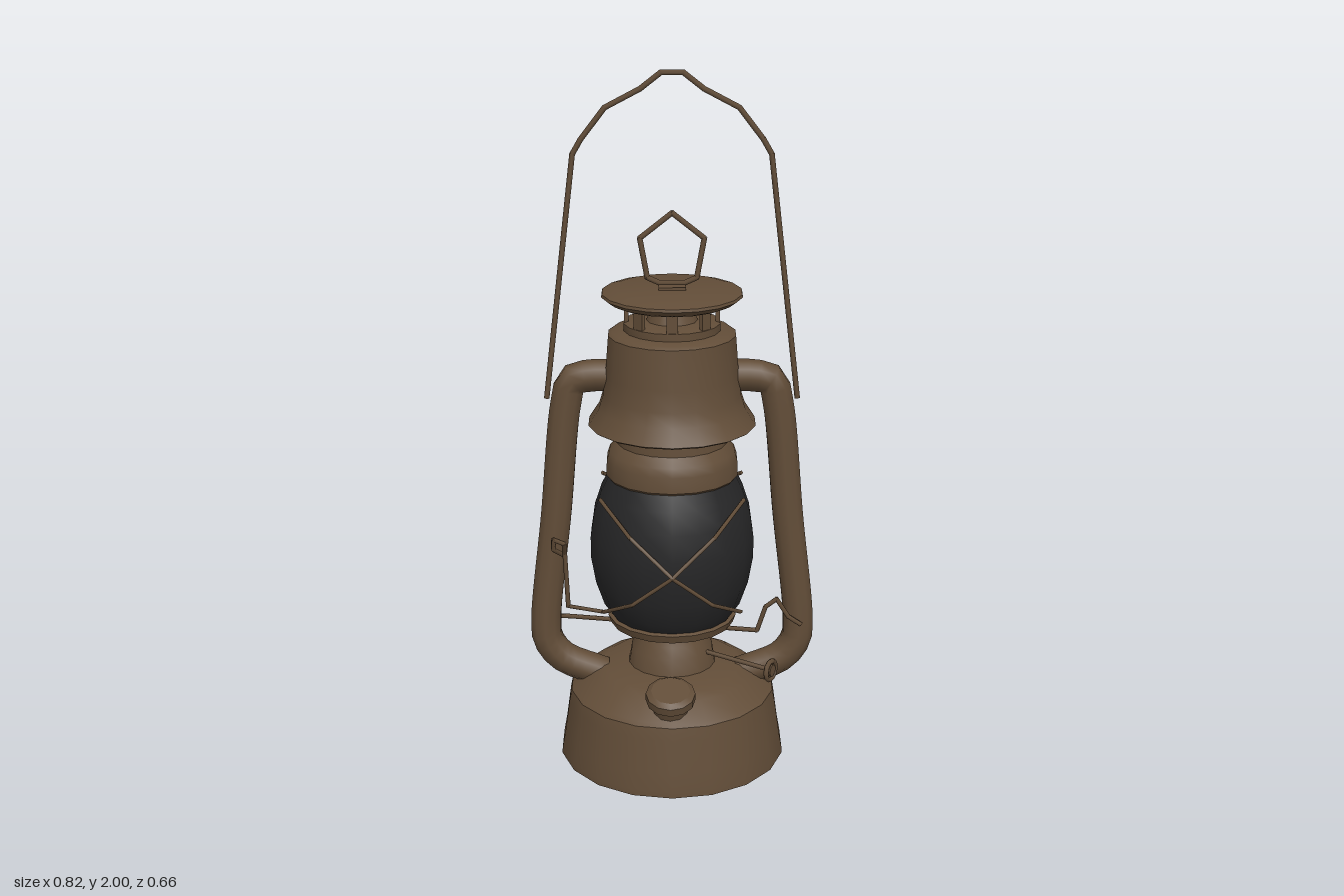
import * as THREE from 'three';
import { mergeGeometries, toCreasedNormals } from 'three/addons/utils/BufferGeometryUtils.js';

const brown = new THREE.MeshStandardMaterial({ color: 0x624d38 });
brown.name = 'weatheredBrown';
const dark = new THREE.MeshStandardMaterial({ color: 0x262627 });
dark.name = 'smokedGlass';

const V = (p) => new THREE.Vector3(...p);

function add(parent, name, geometry, material = brown) {
  const mesh = new THREE.Mesh(geometry, material);
  mesh.name = name;
  parent.add(mesh);
  return mesh;
}

// Turned part from a profile of [radius, height], listed from bottom to top
function turned(profile, sides = 18, crease = 0.6) {
  const lathe = new THREE.LatheGeometry(profile.map((p) => new THREE.Vector2(...p)), sides);
  return toCreasedNormals(lathe, crease);
}

// Bent wire made of straight pieces
function wire(points, radius = 0.007, sides = 5) {
  const pieces = [];
  for (let i = 0; i < points.length - 1; i++) {
    const a = V(points[i]), b = V(points[i + 1]);
    const dir = b.clone().sub(a);
    const g = new THREE.CylinderGeometry(radius, radius, dir.length() + radius * 0.6, sides);
    g.applyQuaternion(new THREE.Quaternion().setFromUnitVectors(V([0, 1, 0]), dir.normalize()));
    g.translate(...a.add(b).multiplyScalar(0.5).toArray());
    pieces.push(g);
  }
  return mergeGeometries(pieces);
}

export function createModel() {
  const lantern = new THREE.Group();
  lantern.name = 'lantern';

  // Fuel tank
  add(lantern, 'fuelTank', turned([
    [0, 0.008], [0.3, 0.008], [0.318, 0], [0.328, 0.003], [0.327, 0.02], [0.318, 0.07], [0.304, 0.17], [0.297, 0.205],
    [0.285, 0.215], [0.235, 0.255], [0.2, 0.272], [0.12, 0.282], [0, 0.285],
  ]));

  // Burner neck and the plate carrying the glass
  add(lantern, 'burner', turned([
    [0.13, 0.27], [0.125, 0.285], [0.118, 0.33], [0.1, 0.36], [0.086, 0.4], [0.16, 0.405],
    [0.178, 0.412], [0.186, 0.435], [0.17, 0.444], [0, 0.444],
  ]));

  // Glass globe
  add(lantern, 'globe', turned([
    [0.175, 0.438], [0.197, 0.47], [0.221, 0.54], [0.235, 0.62], [0.235, 0.68],
    [0.224, 0.755], [0.204, 0.815], [0.18, 0.865],
  ], 18, 1.2), dark);

  // Collar above the globe
  add(lantern, 'globeCollar', turned([
    [0, 0.855], [0.18, 0.855], [0.188, 0.865], [0.186, 0.91], [0.178, 0.935], [0.157, 0.96], [0.152, 1.03],
  ]));

  // Hood with a flared skirt
  add(lantern, 'hood', turned([
    [0.14, 1.02], [0.225, 1.008], [0.237, 1.015], [0.208, 1.06], [0.195, 1.1], [0.188, 1.16],
    [0.179, 1.272], [0.168, 1.28], [0.135, 1.284], [0.135, 1.305], [0.12, 1.31], [0, 1.31],
  ]));

  // Open vent: posts around an inner cone
  add(lantern, 'ventCone', new THREE.CylinderGeometry(0.045, 0.075, 0.08, 12)).position.y = 1.34;
  for (let i = 0; i < 8; i++) {
    const a = (i / 8) * Math.PI * 2;
    const post = add(lantern, 'ventPost', new THREE.BoxGeometry(0.032, 0.075, 0.012));
    post.position.set(Math.sin(a) * 0.126, 1.335, Math.cos(a) * 0.126);
    post.rotation.y = a;
  }

  // Cap
  add(lantern, 'cap', turned([
    [0, 1.365], [0.165, 1.362], [0.178, 1.368], [0.197, 1.382], [0.195, 1.39], [0.16, 1.4], [0, 1.403],
  ]));
  add(lantern, 'capPlate', new THREE.BoxGeometry(0.075, 0.008, 0.075)).position.y = 1.406;

  // Pentagon ring on the cap
  add(lantern, 'capRing', wire([
    [0, 1.61, 0], [0.088, 1.54, 0], [0.068, 1.43, 0], [0.035, 1.415, 0],
    [-0.035, 1.415, 0], [-0.068, 1.43, 0], [-0.088, 1.54, 0], [0, 1.61, 0],
  ], 0.008));

  // Side air tubes
  for (const s of [-1, 1]) {
    const path = new THREE.CurvePath();
    const pts = [
      [0.15, 1.15], [0.235, 1.148], [0.278, 1.135], [0.297, 1.07], [0.33, 0.74], [0.366, 0.4],
      [0.36, 0.345], [0.32, 0.29], [0.2, 0.238],
    ].map(([x, y]) => V([s * x, y, 0]));
    const curve = new THREE.CatmullRomCurve3(pts);
    add(lantern, s > 0 ? 'leftAirTube' : 'rightAirTube', new THREE.TubeGeometry(curve, 36, 0.045, 10));
  }

  // Bail handle
  const half = [[0.35, 1.085], [0.268, 1.77], [0.245, 1.81], [0.18, 1.895], [0.085, 1.945], [0.03, 1.988]];
  add(lantern, 'bailHandle', wire([
    ...half.map(([x, y]) => [-x, y, 0]),
    ...half.slice().reverse().map(([x, y]) => [x, y, 0]),
  ], 0.008));

  // Crossed guard wires, front and back
  const cross = [[-0.2, 0.82, 0.11], [-0.115, 0.745, 0.215], [0, 0.645, 0.262], [0.11, 0.55, 0.222], [0.195, 0.475, 0.1]];
  for (const sx of [-1, 1]) for (const sz of [-1, 1]) {
    add(lantern, 'guardWire', wire(cross.map(([x, y, z]) => [sx * x, y, sz * z]), 0.006));
  }

  // Lift lever running under the globe
  add(lantern, 'liftLever', wire([
    [-0.4, 0.392, -0.065], [-0.3, 0.394, -0.05], [0.245, 0.394, 0.05], [0.268, 0.47, 0.055],
    [0.3, 0.495, 0.055], [0.335, 0.44, 0.058], [0.37, 0.418, 0.062],
  ], 0.007));

  // Hook beside the right air tube
  add(lantern, 'sideHook', wire([
    [-0.298, 0.47, 0.05], [-0.305, 0.64, 0.06], [-0.305, 0.68, 0.09], [-0.335, 0.695, 0.095],
    [-0.335, 0.66, 0.085], [-0.31, 0.63, 0.05],
  ], 0.007));
  add(lantern, 'hookStay', wire([[-0.298, 0.47, 0.05], [-0.2, 0.475, 0.1]], 0.006));

  // Wick shaft and knob
  const shaftEnd = [0.28, 0.32, 0.16];
  add(lantern, 'wickShaft', wire([[0.07, 0.33, 0.04], shaftEnd], 0.007));
  const knob = add(lantern, 'wickKnob', new THREE.TorusGeometry(0.028, 0.008, 5, 10));
  knob.position.set(...shaftEnd);
  knob.rotation.y = Math.PI / 3;
  const hub = add(lantern, 'wickHub', new THREE.CylinderGeometry(0.018, 0.018, 0.014, 8).rotateX(Math.PI / 2));
  hub.position.copy(knob.position);
  hub.rotation.copy(knob.rotation);

  // Filler cap tilted on the tank shoulder
  const filler = add(lantern, 'fillerCap', turned([
    [0.05, -0.05], [0.055, 0], [0.07, 0.008], [0.07, 0.032], [0.055, 0.042], [0, 0.042],
  ], 12));
  filler.position.set(-0.005, 0.258, 0.235);
  filler.rotation.x = 0.27;

  return lantern;
}
